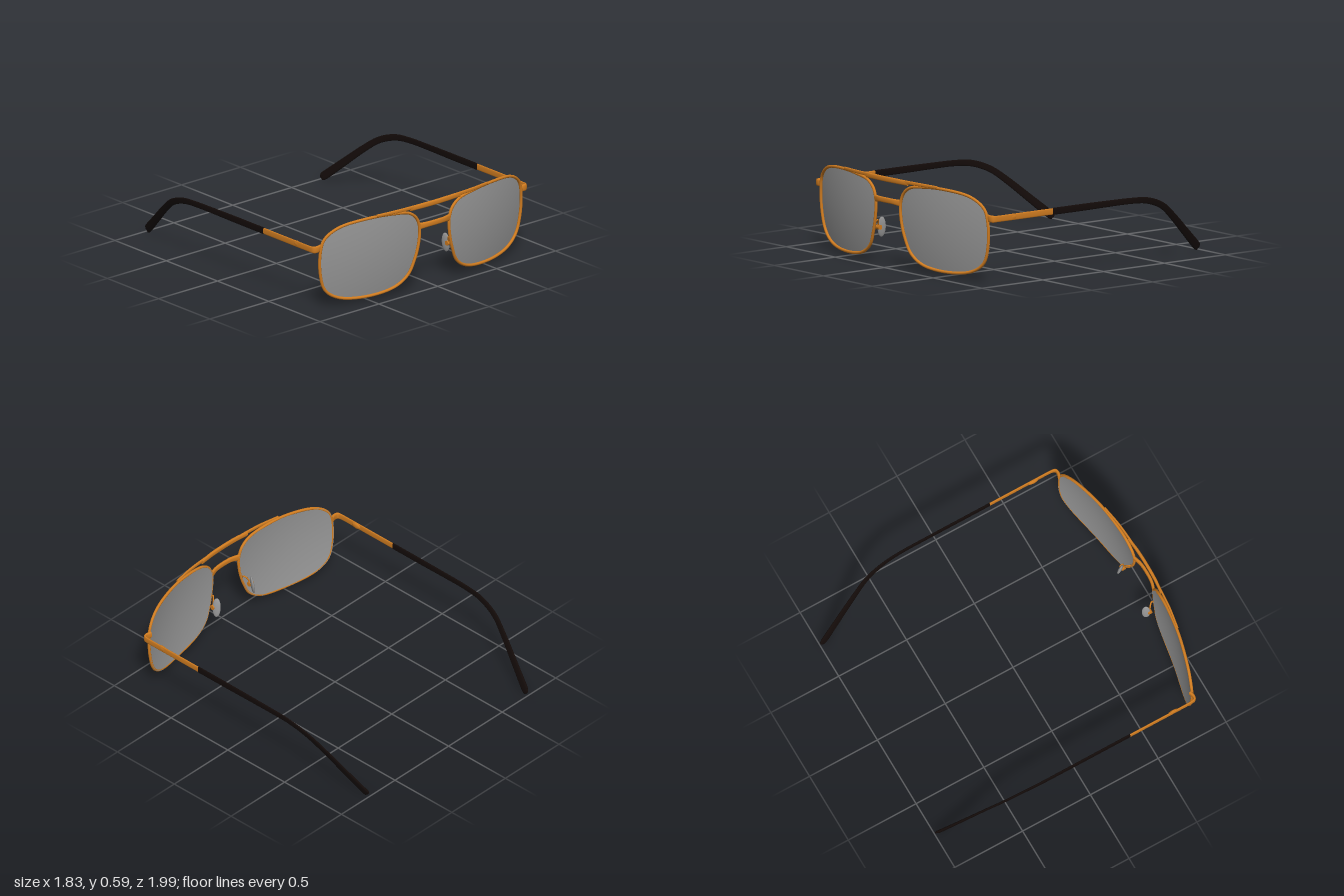
import * as THREE from 'three';

const metal = new THREE.MeshStandardMaterial({ color: 0xd07c20 });
const black = new THREE.MeshStandardMaterial({ color: 0x130b09 });
const glass = new THREE.MeshStandardMaterial({ color: 0x969696, side: THREE.DoubleSide });

function part(name, geometry, material) {
  const mesh = new THREE.Mesh(geometry, material);
  mesh.name = name;
  return mesh;
}

function surface(pos, idx) {
  const g = new THREE.BufferGeometry();
  g.setAttribute('position', new THREE.Float32BufferAttribute(pos, 3));
  g.setIndex(idx);
  g.computeVertexNormals();
  return g;
}

// Wrapped surface of the rims and lenses: depth at (x, y)
const frontZ = (x, y) =>
  0.966 - 0.0909 * (x - 0.12) - 0.309 * (x - 0.12) * (x - 0.56) - 0.24 * (y - 0.41) ** 2;

// Sweep a rounded-box section along stations [x, y, z, halfWidth, halfHeight, lean];
// lean tips the upright axis of the section towards +x
function sweep(stations, steps = 40, sides = 16) {
  const path = new THREE.CatmullRomCurve3(
    stations.map(s => new THREE.Vector3(s[0], s[1], s[2])), false, 'catmullrom', 0.5);
  const size = new THREE.CatmullRomCurve3(
    stations.map(s => new THREE.Vector3(s[3], s[4], s[5] || 0)), false, 'catmullrom', 0.5);
  const pos = [], idx = [];
  const round = v => Math.sign(v) * Math.abs(v) ** 0.7;
  const ring = t => {
    const c = path.getPoint(t), k = size.getPoint(t), T = path.getTangent(t);
    const S = T.clone().cross(new THREE.Vector3(k.z, 1, 0)).normalize();
    const V = S.clone().cross(T);
    for (let j = 0; j < sides; j++) {
      const a = j / sides * Math.PI * 2;
      const p = c.clone().addScaledVector(S, k.x * round(Math.cos(a)))
        .addScaledVector(V, k.y * round(Math.sin(a)));
      pos.push(p.x, p.y, p.z);
    }
  };
  for (let i = 0; i <= steps; i++) ring(i / steps);
  for (let i = 0; i < steps; i++) {
    for (let j = 0; j < sides; j++) {
      const k = (j + 1) % sides;
      const a = i * sides + j, b = i * sides + k, c = a + sides, d = b + sides;
      idx.push(a, c, b, b, c, d);
    }
  }
  // Flat end caps with their own vertices
  for (const end of [0, 1]) {
    const base = pos.length / 3;
    ring(end);
    const c = path.getPoint(end);
    pos.push(c.x, c.y, c.z);
    for (let j = 0; j < sides; j++) {
      const k = (j + 1) % sides;
      idx.push(base + sides, base + (end ? k : j), base + (end ? j : k));
    }
  }
  return surface(pos, idx);
}

// Lens outline, counter-clockwise from the front
const centre = [0.49, 0.305];
const outline = new THREE.CatmullRomCurve3([
  [0.117, 0.40], [0.128, 0.30], [0.155, 0.205], [0.20, 0.112], [0.30, 0.047], [0.52, 0.021],
  [0.72, 0.048], [0.815, 0.115], [0.854, 0.23], [0.859, 0.39], [0.833, 0.478], [0.74, 0.545],
  [0.52, 0.577], [0.32, 0.568], [0.21, 0.548], [0.15, 0.505], [0.125, 0.455],
].map(([x, y]) => {
  const px = centre[0] + (x - centre[0]) * 0.981, py = centre[1] + (y - centre[1]) * 0.973;
  return new THREE.Vector3(px, py, frontZ(px, py));
}), true);

// Lens: concentric rings on the wrapped surface, seated against the back of the rim
function lensGeometry(rings = 10, segments = 96) {
  const seat = -0.009, overlap = 1.01;
  const pos = [...centre, frontZ(...centre) + seat], idx = [];
  const edge = outline.getSpacedPoints(segments).slice(0, segments);
  for (let r = 1; r <= rings; r++) {
    for (const p of edge) {
      const x = centre[0] + (p.x - centre[0]) * overlap * r / rings;
      const y = centre[1] + (p.y - centre[1]) * overlap * r / rings;
      pos.push(x, y, frontZ(x, y) + seat);
    }
  }
  for (let j = 0; j < segments; j++) {
    const k = (j + 1) % segments;
    idx.push(0, 1 + j, 1 + k);
    for (let r = 0; r < rings - 1; r++) {
      const a = 1 + r * segments + j, b = 1 + r * segments + k;
      idx.push(a, a + segments, b, b, a + segments, b + segments);
    }
  }
  return surface(pos, idx);
}

function createSide() {
  const side = new THREE.Group();
  side.add(part('rim', new THREE.TubeGeometry(outline, 140, 0.0098, 10, true), metal));
  side.add(part('lens', lensGeometry(), glass));

  // End piece wrapping round into the metal half of the temple
  side.add(part('templeMetal', sweep([
    [0.845, 0.416, 0.824, 0.011, 0.023], [0.875, 0.416, 0.831, 0.010, 0.023],
    [0.898, 0.416, 0.825, 0.008, 0.023], [0.906, 0.416, 0.795, 0.006, 0.021],
    [0.907, 0.416, 0.70, 0.0055, 0.021], [0.907, 0.416, 0.50, 0.0055, 0.021],
    [0.907, 0.416, 0.335, 0.0055, 0.021],
  ], 48), metal));
  const hinge = part('hinge', new THREE.SphereGeometry(1, 20, 12), metal);
  hinge.scale.set(0.011, 0.021, 0.038);
  hinge.position.set(0.903, 0.416, 0.665);
  side.add(hinge);

  // Black sleeve bending inward and down behind the ear
  side.add(part('templeTip', sweep([
    [0.907, 0.416, 0.345, 0.006, 0.023], [0.907, 0.416, 0.10, 0.006, 0.023],
    [0.907, 0.416, -0.12, 0.006, 0.021], [0.906, 0.414, -0.30, 0.006, 0.020, 0.03],
    [0.898, 0.401, -0.44, 0.006, 0.021, 0.12], [0.877, 0.353, -0.575, 0.007, 0.022, 0.22],
    [0.842, 0.270, -0.69, 0.007, 0.024, 0.25], [0.793, 0.145, -0.835, 0.008, 0.027, 0.25],
    [0.751, 0.040, -0.957, 0.009, 0.029, 0.25], [0.743, 0.025, -0.980, 0.008, 0.024, 0.25],
    [0.739, 0.017, -0.992, 0.004, 0.010, 0.25],
  ], 80), black));

  // Nose pad on a bent wire arm
  const arm = new THREE.CatmullRomCurve3([
    [0.145, 0.27, 0.955], [0.142, 0.285, 0.940], [0.154, 0.275, 0.925], [0.172, 0.235, 0.91],
  ].map(p => new THREE.Vector3(...p)));
  side.add(part('padArm', new THREE.TubeGeometry(arm, 24, 0.005, 8), metal));
  const mount = part('padMount', new THREE.CylinderGeometry(0.016, 0.016, 0.034, 16), metal);
  mount.rotation.z = Math.PI / 2;
  mount.position.set(0.172, 0.23, 0.906);
  side.add(mount);
  const pad = part('nosePad', new THREE.SphereGeometry(1, 24, 16), glass);
  pad.scale.set(0.011, 0.068, 0.027);
  pad.rotation.set(0, 0.5, 0.15);
  pad.position.set(0.167, 0.23, 0.885);
  side.add(pad);
  return side;
}

export function createModel() {
  const model = new THREE.Group();
  model.name = 'sunglasses';

  // Mirrored halves
  for (const [name, sign] of [['leftSide', 1], ['rightSide', -1]]) {
    const side = createSide();
    side.name = name;
    side.scale.x = sign;
    model.add(side);
  }

  // Brow bar: a long thin strip under a thicker middle
  const mirrored = half => [...half.map(([x, ...r]) => [-x, ...r]).reverse(), ...half.slice(1)];
  model.add(part('browStrip', sweep(mirrored([
    [0, 0.578, 0.982, 0.007, 0.012], [0.16, 0.578, 0.979, 0.007, 0.012],
    [0.32, 0.578, 0.968, 0.007, 0.011], [0.47, 0.577, 0.944, 0.007, 0.009],
  ])), metal));
  model.add(part('browBar', sweep(mirrored([
    [0, 0.574, 0.986, 0.010, 0.017], [0.11, 0.574, 0.983, 0.010, 0.017],
    [0.21, 0.571, 0.974, 0.009, 0.015],
  ])), metal));

  // Nose bridge
  model.add(part('bridge', sweep(mirrored([
    [0, 0.437, 0.985, 0.010, 0.018], [0.07, 0.436, 0.981, 0.010, 0.018],
    [0.125, 0.431, 0.966, 0.010, 0.022],
  ])), metal));
  return model;
}
